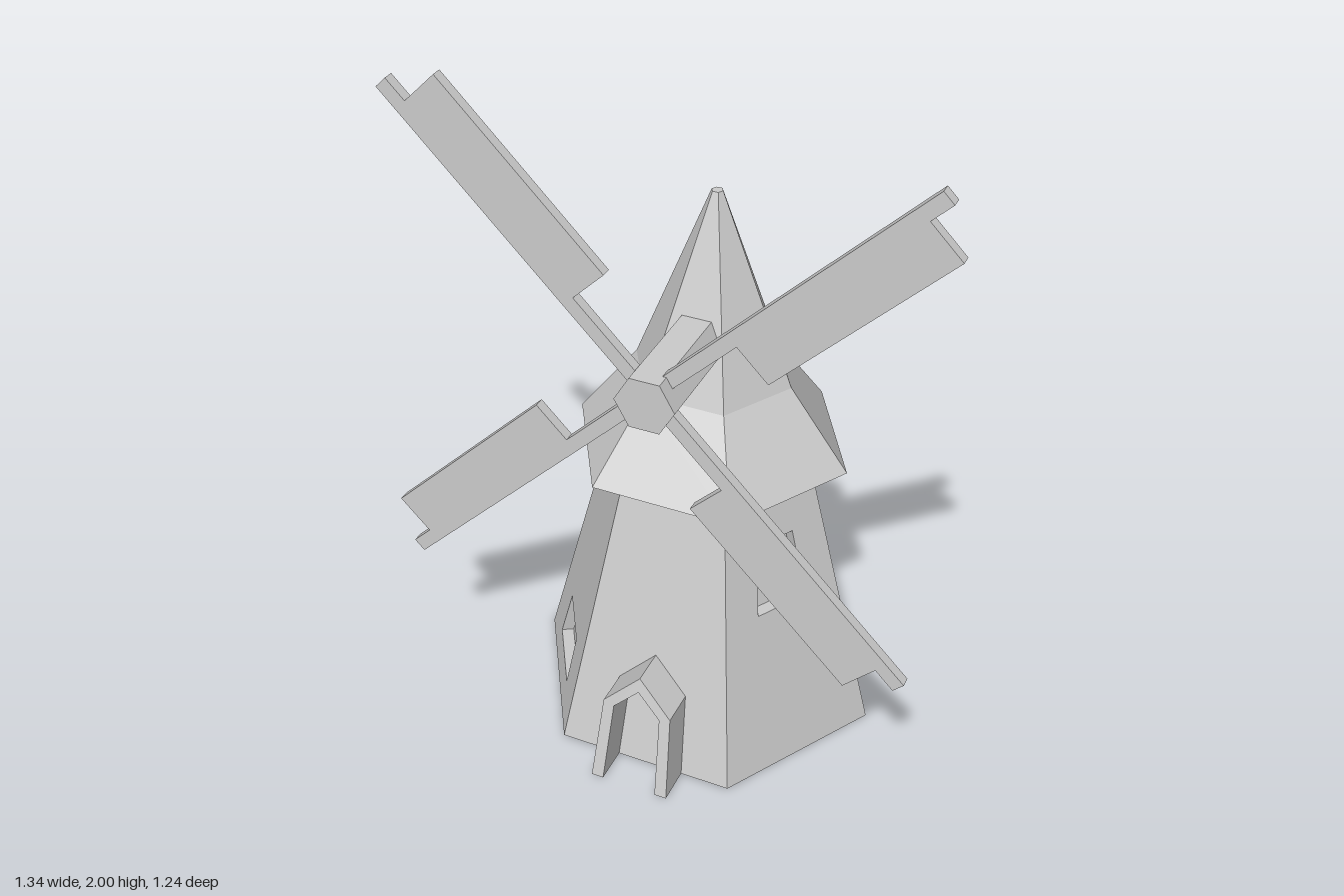
import * as THREE from 'three';

const mat = new THREE.MeshStandardMaterial({ color: 0xcccccc, flatShading: true });
const H = 0.85, R0 = 0.514, R1 = 0.294;          // tower height, bottom and top radius
const COS30 = Math.cos(Math.PI / 6);
const SLOPE = (R0 - R1) * COS30 / H;             // inward lean of each wall

function mesh(name, geometry, parent) {
  const m = new THREE.Mesh(geometry, mat);
  m.name = name;
  parent.add(m);
  return m;
}

const points = list => list.map(([x, y]) => new THREE.Vector2(x, y));

// symmetric four-sided outline between two heights
const trapezoid = (bottomHalf, y0, topHalf, y1) =>
  points([[-bottomHalf, y0], [bottomHalf, y0], [topHalf, y1], [-topHalf, y1]]);

// lay an upright shape geometry onto the leaning wall that faces +z
function onWall(geometry) {
  return geometry.applyMatrix4(new THREE.Matrix4().set(
    1, 0, 0, 0,
    0, 1, 0, 0,
    0, -SLOPE, 1, R0 * COS30,
    0, 0, 0, 1));
}

function extrude(shape, back, front) {
  return new THREE.ExtrudeGeometry(shape, { depth: front - back, bevelEnabled: false }).translate(0, 0, back);
}

// one of the six tower walls, with an optional recessed window
function wall(angle, opening) {
  const g = new THREE.Group();
  g.name = 'wall';
  g.rotation.y = angle;
  const shape = new THREE.Shape(trapezoid(R0 / 2, 0, R1 / 2, H));
  if (opening) {
    shape.holes.push(new THREE.Path(opening));
    mesh('windowPane', onWall(new THREE.ShapeGeometry(new THREE.Shape(opening)).translate(0, 0, -0.035)), g);
  }
  mesh('wallPanel', onWall(extrude(shape, -0.04, 0)), g);
  return g;
}

export function createModel() {
  const model = new THREE.Group();
  model.name = 'windmill';
  const mill = new THREE.Group();
  mill.name = 'mill';
  mill.position.set(0.205, 0, -0.11);
  model.add(mill);

  // six-sided tower
  const windows = {
    0: trapezoid(0.083, 0.475, 0.063, 0.68),
    4: trapezoid(0.115, 0.08, 0.097, 0.225)
  };
  for (let i = 0; i < 6; i++) mill.add(wall(Math.PI / 6 + i * Math.PI / 3, windows[i]));
  const floor = new THREE.CircleGeometry(R0, 6).rotateZ(Math.PI / 2).rotateX(Math.PI / 2);
  mesh('floor', floor, mill);

  // two-stage pointed roof with flat underside
  const profile = points([[0, H], [0.4, H], [0.228, 1.08], [0.016, 1.625], [0, 1.625]]);
  mesh('roof', new THREE.LatheGeometry(profile, 6), mill);

  // everything on the door side
  const front = new THREE.Group();
  front.name = 'doorSide';
  front.rotation.y = -Math.PI / 6;
  mill.add(front);

  // pointed door surround, open at the bottom
  const arch = new THREE.Shape(points([
    [-0.115, 0], [-0.08, 0], [-0.069, 0.235], [0, 0.3], [0.069, 0.235], [0.08, 0],
    [0.115, 0], [0.101, 0.245], [0, 0.343], [-0.101, 0.245]]));
  mesh('doorFrame', onWall(extrude(arch, -0.03, 0.107)), front);

  // six-sided sail shaft, flat on top
  const shaft = new THREE.CylinderGeometry(0.084, 0.084, 0.45, 6).rotateY(Math.PI / 6).rotateX(Math.PI / 2);
  shaft.rotateZ(Math.PI / 6);
  shaft.computeBoundingBox();
  // keep the wide corners level
  if (shaft.boundingBox.max.y > 0.08) shaft.rotateZ(Math.PI / 6);
  mesh('shaft', shaft, front).position.set(0, 1.234, 0.225);

  // four sails, each an arm with a board along one side
  const sails = new THREE.Group();
  sails.name = 'sails';
  sails.position.set(-0.008, 1.239, 0.393);
  front.add(sails);
  const outline = new THREE.Shape(points([
    [-0.02, 0.03], [0.02, 0.03], [0.02, 0.31], [0.141, 0.31],
    [0.141, 0.938], [0.02, 0.938], [0.02, 1.01], [-0.02, 1.01]]));
  const sailGeometry = extrude(outline, -0.015, 0.015);
  for (let i = 0; i < 4; i++) {
    mesh('sail', sailGeometry, sails).rotation.z = Math.PI / 4 + i * Math.PI / 2;
  }
  return model;
}
